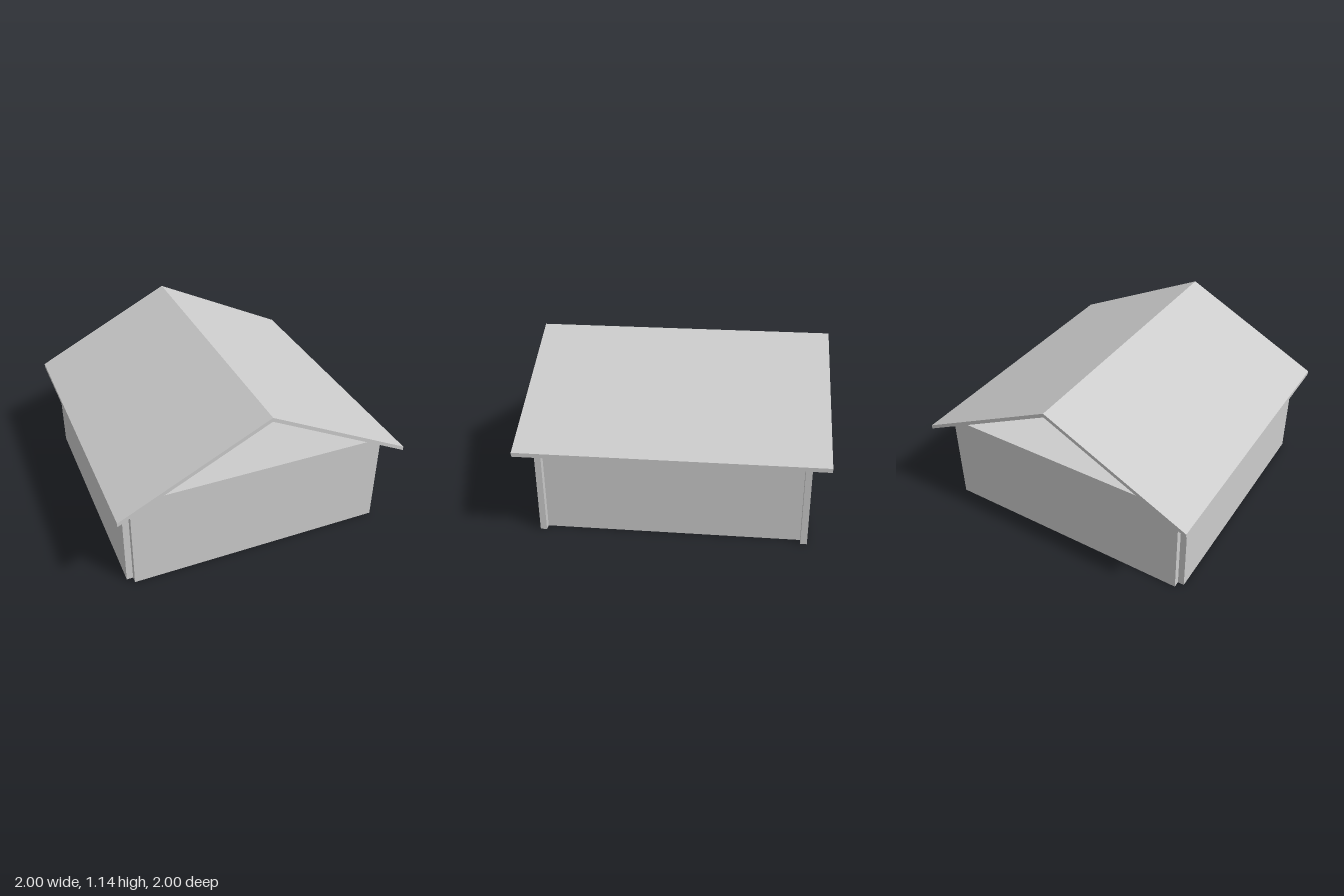
import * as THREE from 'three';

export function createModel() {
  const group = new THREE.Group();
  const plainGrey = new THREE.MeshStandardMaterial({ color: 0xcccccc });

  const T = 0.043;      // board thickness
  const HALF = 0.89;    // half the body width and depth
  const TOP = 0.666;    // top of the ceiling
  const INNER = HALF - T;

  // Box given by its lower and upper bounds on each axis
  function board(name, [x0, x1], [y0, y1], [z0, z1]) {
    const mesh = new THREE.Mesh(new THREE.BoxGeometry(x1 - x0, y1 - y0, z1 - z0), plainGrey);
    mesh.position.set((x0 + x1) / 2, (y0 + y1) / 2, (z0 + z1) / 2);
    mesh.name = name;
    group.add(mesh);
  }

  // Full-height front and back walls
  board('frontWall', [-HALF, HALF], [0, TOP], [INNER, HALF]);
  board('backWall', [-HALF, HALF], [0, TOP], [-HALF, -INNER]);

  // Side walls stop under the ceiling; the left one is inset, the right one stands proud
  board('leftWall', [INNER - T, INNER], [0, TOP - T], [-INNER, INNER]);
  board('rightWall', [-HALF - T, -HALF], [0, TOP - T], [-INNER, INNER]);

  // Ceiling between the front and back walls
  board('ceiling', [-HALF, HALF], [TOP - T, TOP], [-INNER, INNER]);

  // Thin gabled roof with open gables and vertical eave edges
  const EAVE = 0.615, RIDGE = 1.112, ROOF = 0.028;
  const profile = new THREE.Shape([
    new THREE.Vector2(-1, EAVE),
    new THREE.Vector2(0, RIDGE),
    new THREE.Vector2(1, EAVE),
    new THREE.Vector2(1, EAVE + ROOF),
    new THREE.Vector2(0, RIDGE + ROOF),
    new THREE.Vector2(-1, EAVE + ROOF),
  ]);
  const roofGeometry = new THREE.ExtrudeGeometry(profile, { depth: 2, bevelEnabled: false });
  roofGeometry.translate(0, 0, -1);
  const roof = new THREE.Mesh(roofGeometry, plainGrey);
  roof.name = 'roof';
  group.add(roof);

  return group;
}
